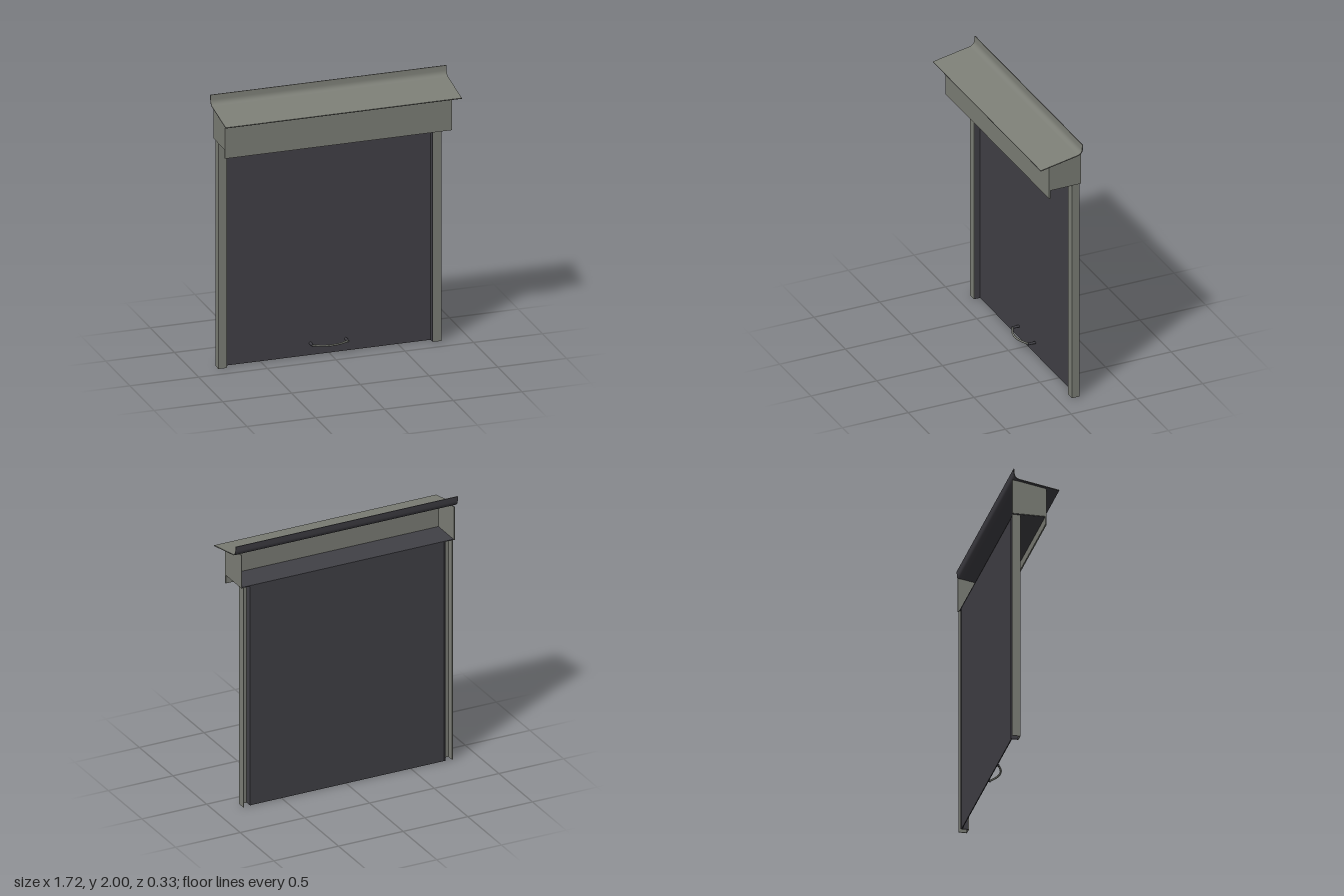
import * as THREE from 'three';
import { toCreasedNormals } from 'three/addons/utils/BufferGeometryUtils.js';

const grey = new THREE.MeshStandardMaterial({ color: 0x7c7e76 });
grey.name = 'warm grey metal';
const dark = new THREE.MeshStandardMaterial({ color: 0x414046 });
dark.name = 'dark charcoal';

export function createModel() {
  const model = new THREE.Group();
  model.name = 'rollerShutter';

  const add = (name, geometry, material, parent = model) => {
    const mesh = new THREE.Mesh(geometry, material);
    mesh.name = name;
    parent.add(mesh);
    return mesh;
  };

  // Box given by its limits on each axis
  const block = (name, material, [x0, x1], [y0, y1], [z0, z1], parent) => {
    const g = new THREE.BoxGeometry(x1 - x0, y1 - y0, z1 - z0);
    g.translate((x0 + x1) / 2, (y0 + y1) / 2, (z0 + z1) / 2);
    return add(name, g, material, parent);
  };

  // Extrude a side profile of (z, y) points along x
  const extrudeX = (points, x0, x1) => {
    const g = new THREE.ExtrudeGeometry(new THREE.Shape(points), { depth: x1 - x0, bevelEnabled: false });
    g.rotateY(-Math.PI / 2);
    g.translate(x1, 0, 0);
    return toCreasedNormals(g, 0.6);
  };

  // Move a (z, y) line towards its underside by distance d
  const offset = (line, d) => line.map((p, i) => {
    const t = line[Math.min(i + 1, line.length - 1)].clone().sub(line[Math.max(i - 1, 0)]).normalize();
    return new THREE.Vector2(p.x - t.y * d, p.y + t.x * d);
  });
  const sheet = (line, d0, d1, x0, x1) =>
    extrudeX([...offset(line, d0), ...offset(line, d1).reverse()], x0, x1);

  // Sloping roof that sweeps up into a lip at the back
  const bend = new THREE.QuadraticBezierCurve(
    new THREE.Vector2(-0.115, 1.926), new THREE.Vector2(-0.148, 1.932), new THREE.Vector2(-0.152, 1.965));
  const roofLine = [new THREE.Vector2(0.163, 1.874), ...bend.getPoints(8), new THREE.Vector2(-0.154, 2.0)];
  add('roofTop', sheet(roofLine, 0, 0.004, -0.86, 0.857), grey);
  add('roofUnderside', sheet(roofLine, 0.004, 0.006, -0.86, 0.857), dark);

  // Shutter housing, open at the back
  const housing = new THREE.Group();
  housing.name = 'housing';
  model.add(housing);
  block('housingFront', grey, [-0.835, 0.815], [1.613, 1.884], [0.07, 0.079], housing);
  const end = [[0.07, 1.675], [0.07, 1.886], [-0.115, 1.92], [-0.163, 1.928], [-0.163, 1.675]]
    .map(([z, y]) => new THREE.Vector2(z, y));
  add('housingEndRight', extrudeX(end, -0.835, -0.829), grey, housing);
  add('housingEndLeft', extrudeX(end, 0.809, 0.815), grey, housing);
  block('housingFloor', dark, [-0.829, 0.809], [1.673, 1.678], [-0.155, 0.07], housing);

  // Shutter curtain
  block('shutterPanel', dark, [-0.757, 0.737], [0, 1.674], [-0.153, -0.147]);

  // Guide rails: channels open at the back, with a dark inner wall
  for (const side of [-1, 1]) {
    const rail = new THREE.Group();
    rail.name = side < 0 ? 'guideRailRight' : 'guideRailLeft';
    model.add(rail);
    const span = (a, b) => [side * a - 0.01, side * b - 0.01].sort((p, q) => p - q);
    const height = [0, 1.675];
    block('railFront', grey, span(0.75, 0.81), height, [-0.106, -0.101], rail);
    block('railOuterWall', grey, span(0.804, 0.81), height, [-0.161, -0.106], rail);
    block('railInnerWall', dark, span(0.747, 0.755), height, [-0.157, -0.106], rail);
  }

  // Bowed pull handle near the bottom edge
  const handle = new THREE.Group();
  handle.name = 'handle';
  model.add(handle);
  const arc = new THREE.QuadraticBezierCurve3(
    new THREE.Vector3(-0.137, 0.088, -0.1), new THREE.Vector3(-0.008, 0.088, -0.012), new THREE.Vector3(0.121, 0.088, -0.1));
  add('handleBar', new THREE.TubeGeometry(arc, 20, 0.007, 8), grey, handle);
  for (const x of [-0.137, 0.121]) {
    const post = add('handlePost', new THREE.CylinderGeometry(0.009, 0.009, 0.056, 12), dark, handle);
    post.rotation.x = Math.PI / 2;
    post.position.set(x, 0.088, -0.121);
  }

  return model;
}
